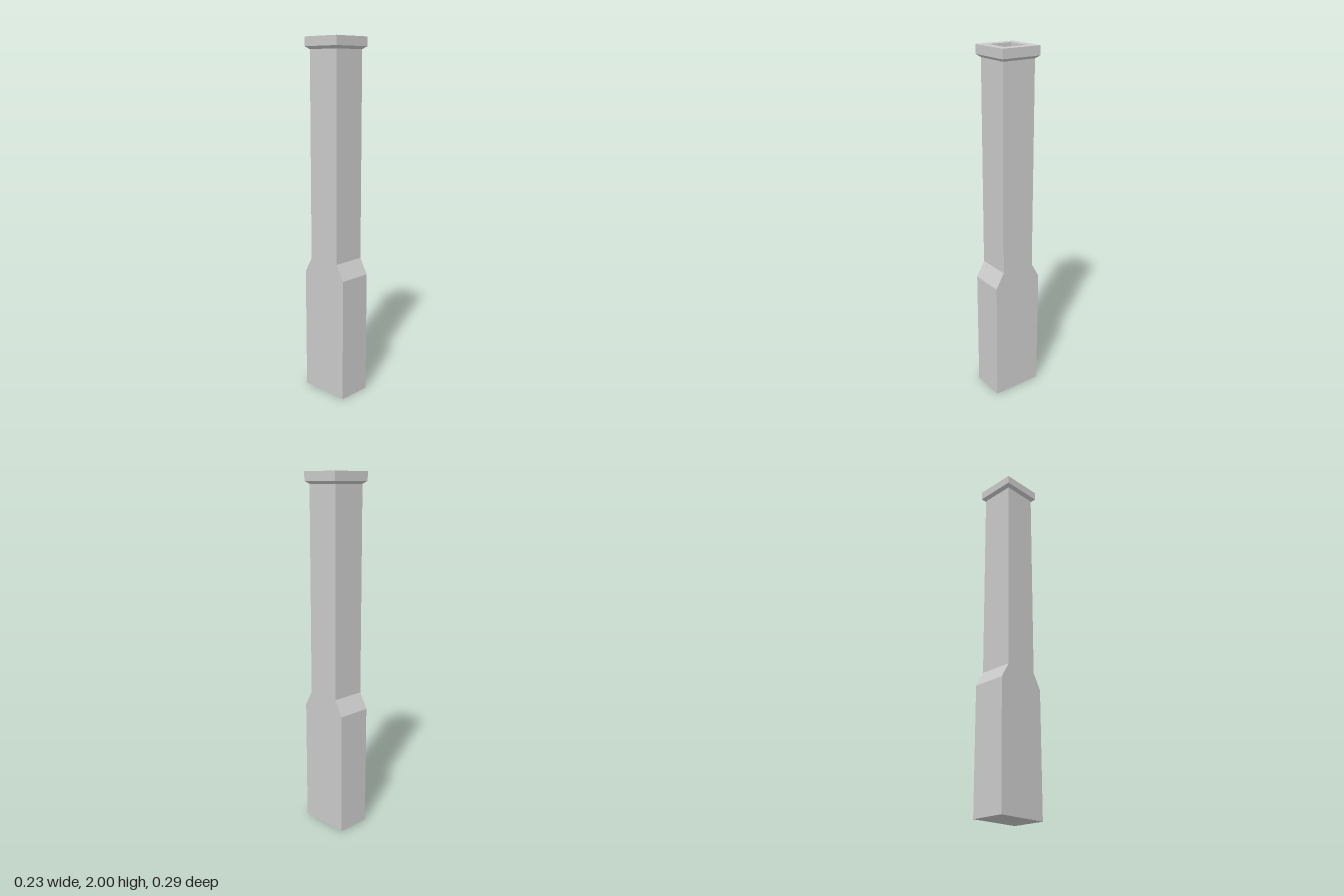
import * as THREE from 'three';

export function createModel() {
  const group = new THREE.Group();
  const material = new THREE.MeshStandardMaterial({ color: 0xcccccc, flatShading: true });
  const add = (name, geometry) => {
    const mesh = new THREE.Mesh(geometry, material);
    mesh.name = name;
    group.add(mesh);
  };

  const half = 0.098; // half width of the stack
  const crownBase = 1.935;

  // Stack: side profile with sloped shoulders at front and back, extruded across x
  const right = [[0.147, 0], [0.147, 0.7], [half, 0.787], [half, crownBase]];
  const left = right.map(([z, y]) => [-z, y]).reverse();
  const profile = new THREE.Shape([...right, ...left].map(([z, y]) => new THREE.Vector2(z, y)));
  const stack = new THREE.ExtrudeGeometry(profile, { depth: 2 * half, bevelEnabled: false });
  stack.translate(0, 0, -half).rotateY(-Math.PI / 2);
  add('chimneyStack', stack);

  // Crown: four-sided lathe with flared underside, square rim and recessed flue
  const crown = [
    [half, crownBase], [0.117, 1.95], [0.117, 2],
    [0.069, 2], [0.069, 1.945], [0, 1.945],
  ].map(([r, y]) => new THREE.Vector2(r * Math.SQRT2, y));
  add('chimneyCrown', new THREE.LatheGeometry(crown, 4, Math.PI / 4));

  return group;
}
